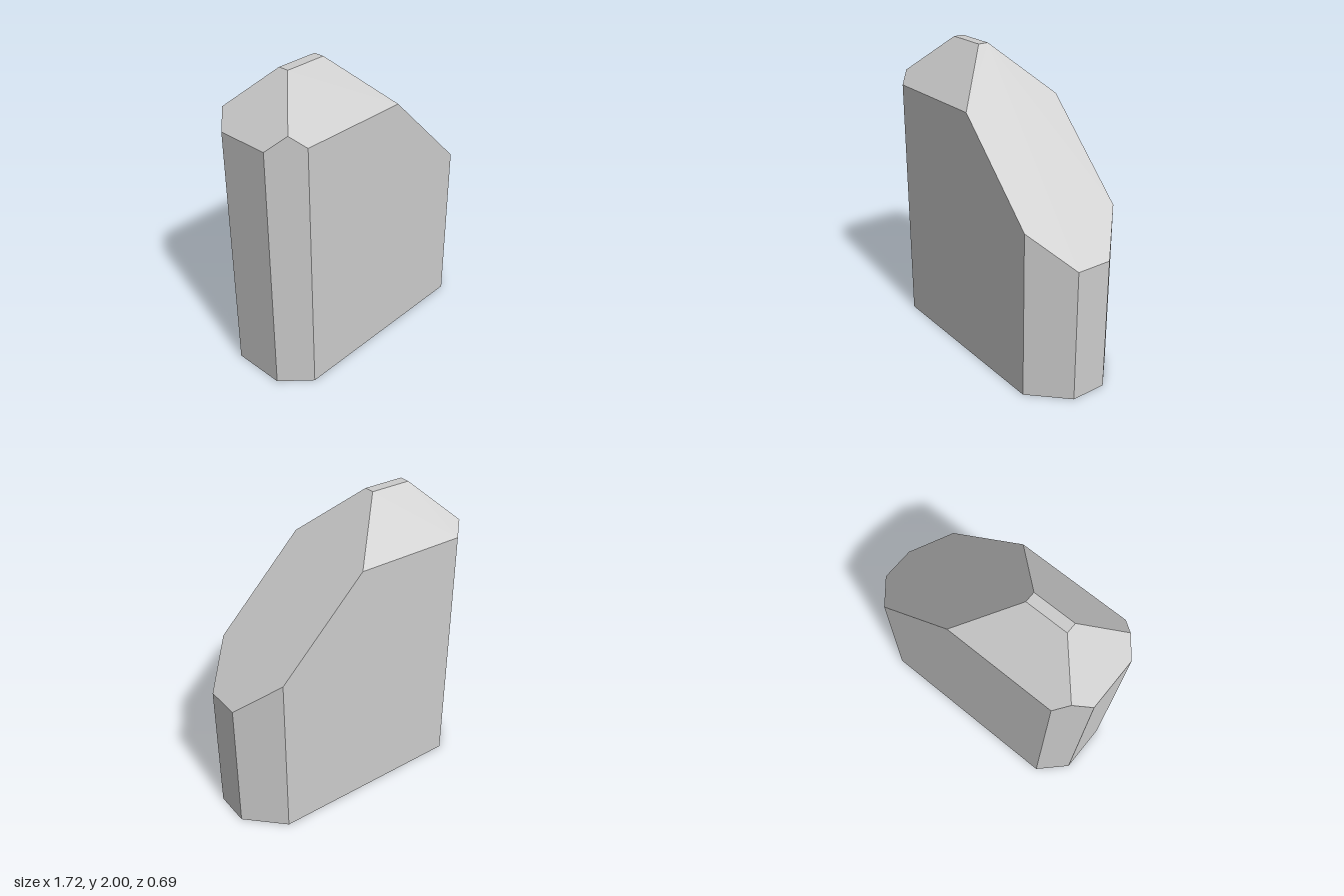
import * as THREE from 'three';
import { ConvexGeometry } from 'three/addons/geometries/ConvexGeometry.js';

// Corners of the front half; mirrored in z for the back half.
const base = [[-0.86, 0.175], [-0.69, 0.345], [0.635, 0.345], [0.86, 0.12]];
const upper = [
  [-0.86, 1.67, 0.175],  // left end edge
  [-0.765, 1.765, 0.27], // left chamfer tip
  [-0.69, 1.69, 0.345],  // front eave, left
  [0.06, 1.69, 0.345],   // front eave, right
  [0.635, 1.115, 0.345], // foot of the long slope
  [0.86, 0.89, 0.12],    // right end edge
  [-0.53, 2, 0.035],     // narrow flat ridge
  [-0.25, 2, 0.035],
];

export function createModel() {
  const points = [];
  for (const side of [1, -1]) {
    for (const [x, z] of base) points.push(new THREE.Vector3(x, 0, side * z));
    for (const [x, y, z] of upper) points.push(new THREE.Vector3(x, y, side * z));
  }
  // Faceted block with chamfered ends, sloped top and a narrow ridge
  const block = new THREE.Mesh(
    new ConvexGeometry(points),
    new THREE.MeshStandardMaterial({ color: 0xcccccc, flatShading: true })
  );
  block.name = 'facetedBlock';

  const group = new THREE.Group();
  group.name = 'chamferedBlock';
  group.add(block);
  return group;
}
